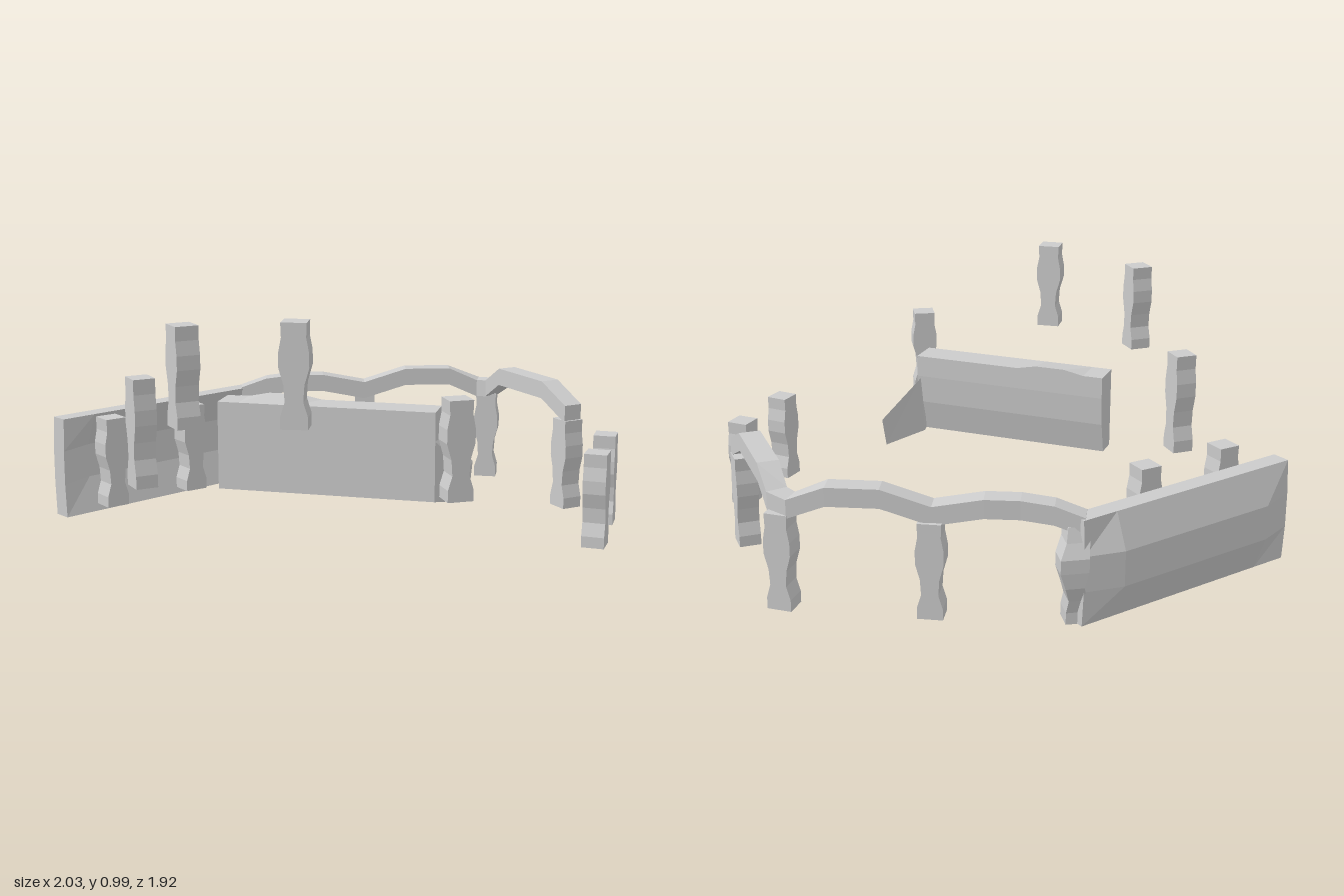
import * as THREE from 'three';

const material = new THREE.MeshStandardMaterial({ color: 0xcccccc, flatShading: true });
const V = (x, y, z) => new THREE.Vector3(x, y, z);

// Skin a list of equal, even-sized rings and cap both ends; rings are paired i <-> n-1-i
function loft(name, rings) {
  const n = rings[0].length;
  const tris = [];
  const quad = (a, b, c, d) => tris.push([a, b, c], [a, c, d]);
  for (let r = 0; r < rings.length - 1; r++) {
    for (let i = 0; i < n; i++) {
      const j = (i + 1) % n;
      quad(rings[r][i], rings[r][j], rings[r + 1][j], rings[r + 1][i]);
    }
  }
  const first = rings[0], last = rings[rings.length - 1];
  for (let i = 0; i < n / 2 - 1; i++) {
    const k = n - 1 - i;
    quad(first[k], first[k - 1], first[i + 1], first[i]);
    quad(last[i], last[i + 1], last[k - 1], last[k]);
  }
  // Turn every face outward when the enclosed volume comes out negative
  const origin = first[0];
  const volume = tris.reduce((sum, [a, b, c]) => sum + a.clone().sub(origin)
    .dot(b.clone().sub(origin).cross(c.clone().sub(origin))), 0);
  const points = tris.flatMap(([a, b, c]) => (volume < 0 ? [a, c, b] : [a, b, c]));
  const geometry = new THREE.BufferGeometry().setFromPoints(points);
  geometry.computeVertexNormals();
  const mesh = new THREE.Mesh(geometry, material);
  mesh.name = name;
  return mesh;
}

// Baluster profile: height fraction, half width, share of the optional bow
const balusterProfile = [
  [0, 0.048, 0], [0.12, 0.048, 0], [0.26, 0.032, 0.35], [0.42, 0.036, 0.9],
  [0.58, 0.053, 1], [0.72, 0.053, 1], [0.86, 0.043, 0.4], [1, 0.045, 0],
];

function baluster([x, z, y0, y1, turn, bowX = 0, bowZ = 0]) {
  const depth = 0.044;
  const c = Math.cos(turn), s = Math.sin(turn);
  return loft('baluster', balusterProfile.map(([t, w, bow]) =>
    [[-w, -depth], [w, -depth], [w, depth], [-w, depth]].map(([u, v]) =>
      V(x + bowX * bow + u * c + v * s, y0 + (y1 - y0) * t, z + bowZ * bow - u * s + v * c))));
}

// Square handrail that stays level across and follows the path
function handrail(path) {
  const w = 0.042, h = 0.037;
  return loft('handrail', path.map((p, i) => {
    const dir = path[Math.min(i + 1, path.length - 1)].clone().sub(path[Math.max(i - 1, 0)]);
    const side = V(-dir.z, 0, dir.x).normalize().multiplyScalar(w);
    return [[-1, -1], [1, -1], [1, 1], [-1, 1]].map(([a, b]) =>
      p.clone().addScaledVector(side, a).add(V(0, b * h, 0)));
  }));
}

// Bowed wall: a shell that bulges outward at mid height and flattens at the ends
function bowedWall() {
  const start = V(-1, 0, -0.6), end = V(-0.02, 0, -0.865);
  const along = end.clone().sub(start);
  const out = V(along.z, 0, -along.x).normalize();
  const bulge = [[0, 0], [0.14, 1], [0.28, 1], [0.418, 0]];
  const thickness = 0.075;
  return loft('bowedWall', [[0, 0.15], [0.15, 1], [0.85, 1], [1, 0.15]].map(([t, k]) => {
    const base = start.clone().addScaledVector(along, t);
    const at = (extra) => ([y, b]) =>
      base.clone().addScaledVector(out, extra + b * k * 0.055).setY(y);
    return [...bulge.map(at(0)), ...bulge.map(at(thickness)).reverse()];
  }));
}

// Thick slab with a flat face and an undercut face
function slab() {
  const start = V(-0.62, 0, 0.12), end = V(0.01, 0, 0.675);
  const along = end.clone().sub(start);
  const inward = V(along.z, 0, -along.x).normalize();
  const stations = [[0, 0], [0.1, 0], [0.2, 0.017], [0.35, 0.017], [0.45, 0], [1, 0]];
  return loft('slab', stations.map(([t, lift]) => [
    [0, 0.25], [0, 0.38], [0, 0.5], [0, 0.59],
    [0.13, 0.59 + lift], [0.13, 0.5], [0.12, 0.38], [0.09, 0.25],
  ].map(([d, y]) => start.clone().addScaledVector(along, t).addScaledVector(inward, d).setY(y))));
}

// Low arm running off the end of the slab
function slabArm() {
  return loft('slabArm', [
    [V(0.01, 0.25, 0.675), V(0.01, 0.48, 0.675), V(0.09, 0.49, 0.56), V(0.07, 0.25, 0.56)],
    [V(0.19, 0.22, 0.62), V(0.19, 0.34, 0.62), V(0.28, 0.34, 0.51), V(0.26, 0.22, 0.52)],
  ]);
}

export function createModel() {
  const model = new THREE.Group();
  model.name = 'brokenBalustrade';

  // x, z, bottom, top, turn, and a sideways bow for the warped one
  const balusters = [
    [-0.84, -0.475, 0.07, 0.437, 0.17],
    [-0.457, -0.565, 0.07, 0.437, 0.15],
    [-0.87, -0.035, 0.255, 0.68, Math.PI / 2],
    [-0.875, 0.42, 0.58, 0.947, Math.PI / 2],
    [-0.6, 0.76, 0.618, 0.987, -0.6],
    [-0.04, 0.905, 0.326, 0.692, -0.2],
    [0.65, 0.81, 0.03, 0.398, 0.75],
    [0.875, 0.565, 0.03, 0.395, 0.8],
    [0.945, 0.21, 0, 0.38, Math.PI / 2],
    [0.935, -0.4, 0, 0.385, -0.67],
    [0.44, -0.66, 0, 0.38, -0.5],
    [-0.045, -0.87, 0, 0.385, -0.17, 0.035, -0.04],
  ];
  balusters.forEach((b) => model.add(baluster(b)));

  // Handrail, dipping over each baluster it rests on
  model.add(handrail([
    V(-0.07, 0.385, -0.89), V(0.03, 0.425, -0.84), V(0.14, 0.44, -0.785), V(0.26, 0.44, -0.73),
    V(0.43, 0.405, -0.65), V(0.6, 0.465, -0.57), V(0.78, 0.465, -0.485), V(0.9, 0.41, -0.425),
    V(0.935, 0.415, -0.36), V(0.94, 0.485, -0.25), V(0.94, 0.485, 0.08), V(0.945, 0.408, 0.245),
  ]));

  model.add(bowedWall(), slab(), slabArm());
  return model;
}
